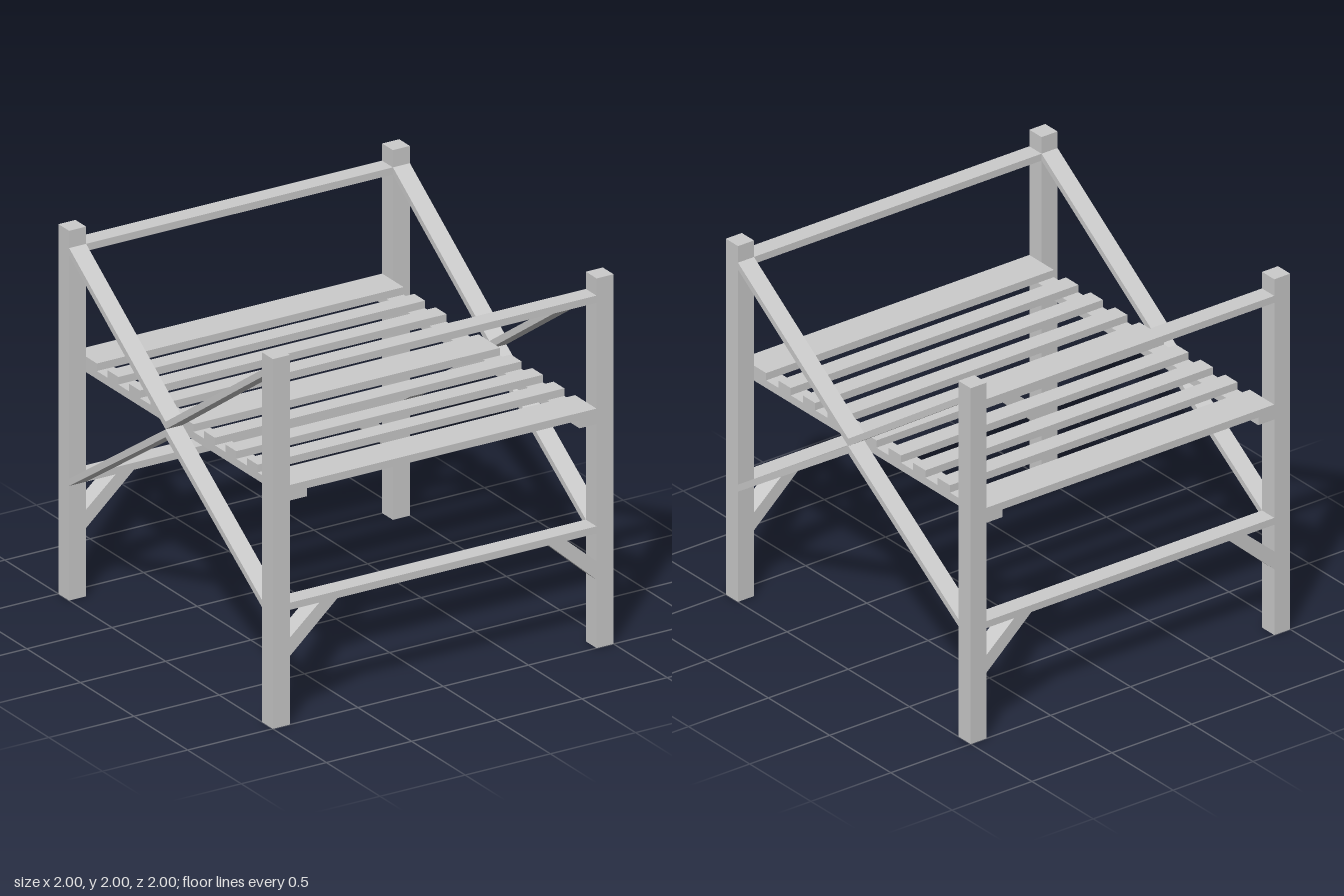
import * as THREE from 'three';

const material = new THREE.MeshStandardMaterial({ color: 0xcccccc, flatShading: true, side: THREE.DoubleSide });

// Box given by its lower and upper limits on each axis
function addBox(group, name, [x0, x1], [y0, y1], [z0, z1]) {
  const geometry = new THREE.BoxGeometry(x1 - x0, y1 - y0, z1 - z0);
  geometry.translate((x0 + x1) / 2, (y0 + y1) / 2, (z0 + z1) / 2);
  return addMesh(group, name, geometry);
}

function addMesh(group, name, geometry) {
  const mesh = new THREE.Mesh(geometry, material);
  mesh.name = name;
  group.add(mesh);
  return mesh;
}

// Flat outline in x and y, extruded along z by one beam width
function beam(points) {
  const shape = new THREE.Shape(points.map(([x, y]) => new THREE.Vector2(x, y)));
  return new THREE.ExtrudeGeometry(shape, { depth: 0.1, bevelEnabled: false });
}

export function createModel() {
  const chair = new THREE.Group();
  chair.name = 'slattedChair';

  // Square corner posts, hollow at the foot
  for (const x of [-0.95, 0.95]) {
    for (const z of [-0.95, 0.95]) {
      const geometry = new THREE.BoxGeometry(0.1, 2, 0.1);
      const index = Array.from(geometry.index.array);
      index.splice(18, 6); // leave out the bottom face
      geometry.setIndex(index);
      geometry.clearGroups();
      geometry.translate(x, 1, z);
      addMesh(chair, 'cornerPost', geometry);
    }
  }

  // Upper and lower rails, front and back, with corner braces below
  const brace = [[0.9, 0.37], [0.9, 0.47], [0.727, 0.62], [0.62, 0.62]];
  for (const [end, z] of [['front', 0.9], ['back', -1]]) {
    addBox(chair, end + 'UpperRail', [-0.9, 0.9], [1.868, 1.907], [z, z + 0.1]);
    addBox(chair, end + 'LowerRail', [-0.9, 0.9], [0.62, 0.659], [z, z + 0.1]);
    for (const side of [-1, 1]) {
      const outline = brace.map(([x, y]) => [x * side, y]);
      addMesh(chair, end + 'CornerBrace', beam(outline).translate(0, 0, z));
    }
  }

  // Crossed arms on each side: an upper V and a lower inverted V
  const upperV = [[-0.9, 1.868], [0, 1.255], [0.9, 1.868], [0.9, 1.907], [0, 1.296], [-0.9, 1.907]];
  const lowerV = [[-0.9, 0.62], [0, 1.212], [0.9, 0.62], [0.9, 0.659], [0, 1.255], [-0.9, 0.659]];
  for (const x of [-1, 0.9]) {
    for (const [name, outline] of [['upperCrossArms', upperV], ['lowerCrossArms', lowerV]]) {
      addMesh(chair, name, beam(outline).rotateY(Math.PI / 2).translate(x, 0, 0));
    }
  }

  // Seat: two bearers carrying the slats
  for (const x of [-0.9, 0.8]) {
    addBox(chair, 'seatBearer', [x, x + 0.1], [1.212, 1.255], [-1, 1]);
  }
  const addSlat = (z0, z1) => addBox(chair, 'seatSlat', [-0.9, 0.9], [1.255, 1.296], [z0, z1]);
  addSlat(-0.1, 0.1);
  addSlat(0.8, 1);
  addSlat(-1, -0.8);
  for (const z of [0.2, 0.4, 0.6]) {
    addSlat(z, z + 0.1);
    addSlat(-z - 0.1, -z);
  }

  return chair;
}
